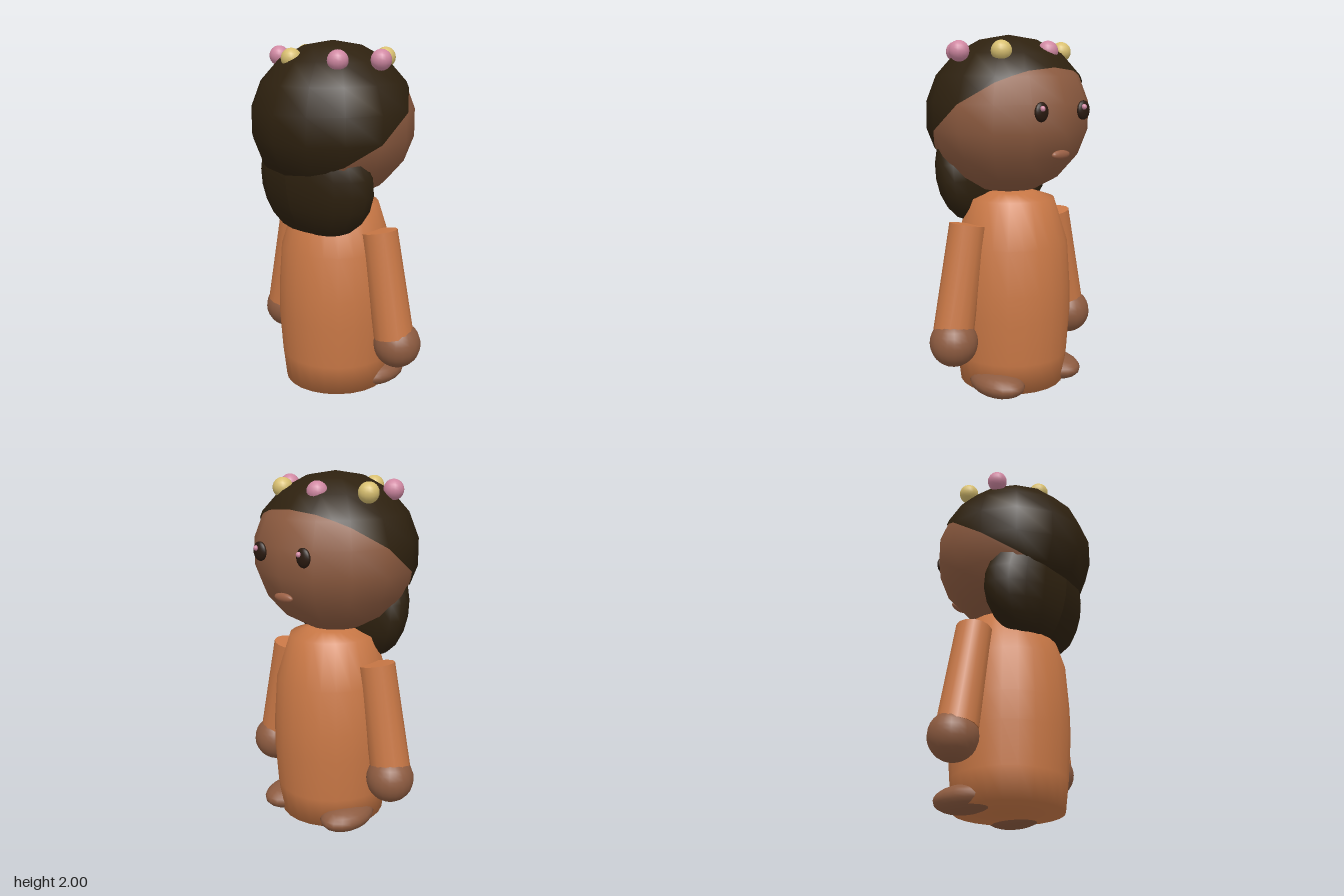
import * as THREE from 'three';

const mat = (name, color, side = THREE.FrontSide) => {
  const m = new THREE.MeshStandardMaterial({ color, side });
  m.name = name;
  return m;
};

// Sphere with a vertex line facing front and back
const ball = (r, w = 14, h = 9) => new THREE.SphereGeometry(r, w, h).rotateY(Math.PI / 2);

// Keeps the part of a geometry centred on the origin that lies above a plane
function clipAbove(source, plane) {
  const p = source.toNonIndexed().attributes.position;
  const out = [];
  for (let i = 0; i < p.count; i += 3) {
    const tri = [0, 1, 2].map((k) => new THREE.Vector3().fromBufferAttribute(p, i + k));
    const poly = [];
    tri.forEach((a, k) => {
      const b = tri[(k + 1) % 3];
      const da = plane.distanceToPoint(a), db = plane.distanceToPoint(b);
      if (da >= 0) poly.push(a);
      if (da >= 0 !== db >= 0) poly.push(a.clone().lerp(b, da / (da - db)));
    });
    for (let k = 1; k + 1 < poly.length; k++) out.push(poly[0], poly[k], poly[k + 1]);
  }
  const g = new THREE.BufferGeometry().setFromPoints(out);
  const normals = out.flatMap((v) => v.clone().normalize().toArray());
  g.setAttribute('normal', new THREE.Float32BufferAttribute(normals, 3));
  return g;
}

export function createModel() {
  const group = new THREE.Group();
  const skin = mat('skin', 0x8d5b40);
  const robe = mat('robe', 0xc97846);
  const hairMat = mat('hair', 0x2e210f, THREE.DoubleSide);
  const eyeMat = mat('eye', 0x2a1a10);
  const pink = mat('pink', 0xd088a2);
  const yellow = mat('yellow', 0xd8bf70);
  const lip = mat('lip', 0x9a6045);

  const add = (name, geometry, material, x, y, z, s = [1, 1, 1]) => {
    const m = new THREE.Mesh(geometry, material);
    m.name = name;
    m.position.set(x, y, z);
    m.scale.set(...s);
    group.add(m);
    return m;
  };

  // Robe body, closed at both ends
  const profile = [[0, 0.03], [0.3, 0.03], [0.32, 0.2], [0.337, 0.44], [0.335, 0.6],
    [0.318, 0.85], [0.24, 1.1], [0.13, 1.135], [0, 1.14]];
  const bodyGeo = new THREE.LatheGeometry(profile.map(([x, y]) => new THREE.Vector2(x, y)), 24);
  add('body', bodyGeo, robe, 0, 0, -0.03);

  // Head and the hair cap, cut on a slope from brow to nape
  add('head', ball(0.458), skin, 0, 1.56, 0, [1, 0.95, 1]);
  const slope = new THREE.Plane(new THREE.Vector3(0, 0.95, 0.72).normalize(), 0);
  add('hairCap', clipAbove(ball(0.465), slope), hairMat, 0, 1.562, 0, [1, 0.945, 1]);

  // Hair falling behind the neck: a broad ellipsoid, bent forward at the sides
  const backHair = ball(1, 18, 11);
  const p = backHair.attributes.position;
  for (let i = 0; i < p.count; i++) {
    const x = Math.sign(p.getX(i)) * Math.abs(p.getX(i)) ** 0.75 * 0.39;
    const y = p.getY(i) * 0.315;
    p.setXYZ(i, x, y, p.getZ(i) * 0.17 - 0.5 * x * x + 0.1 * y);
  }
  backHair.computeVertexNormals();
  add('backHair', backHair, hairMat, 0, 1.25, 0.2);

  // Ring of round hair ornaments
  for (let i = 0; i < 7; i++) {
    const a = (i / 7) * Math.PI * 2;
    add('hairOrnament', ball(0.056, 16, 12), i % 2 ? yellow : pink,
      0.345 * Math.cos(a), 1.91, 0.003 - 0.245 * Math.sin(a));
  }

  // Mirrored limbs and eyes
  for (const s of [-1, 1]) {
    const arm = new THREE.Group();
    arm.name = s > 0 ? 'leftArm' : 'rightArm';
    const top = new THREE.Vector3(s * 0.324, 0.98, -0.03);
    const end = new THREE.Vector3(s * 0.434, 0.39, -0.035);
    const dir = top.clone().sub(end);
    const sleeve = new THREE.Mesh(new THREE.CylinderGeometry(0.1, 0.112, dir.length(), 14), robe);
    sleeve.name = 'sleeve';
    sleeve.position.copy(top).add(end).multiplyScalar(0.5);
    sleeve.quaternion.setFromUnitVectors(new THREE.Vector3(0, 1, 0), dir.normalize());
    const hand = new THREE.Mesh(ball(0.133, 20, 14), skin);
    hand.name = 'hand';
    hand.position.set(s * 0.445, 0.34, -0.052);
    arm.add(sleeve, hand);
    group.add(arm);

    add('foot', ball(1, 18, 12), skin, s * 0.22, 0.078, -0.155, [0.13, 0.075, 0.185]);
    add('eye', ball(1, 16, 12), eyeMat, s * 0.155, 1.6, -0.43, [0.045, 0.052, 0.022]);
    add('eyeGlint', ball(0.015, 10, 8), pink, s * 0.153 + 0.012, 1.618, -0.449);
  }

  // Mouth
  add('mouth', ball(1, 16, 10), lip, 0, 1.37, -0.418, [0.065, 0.025, 0.02]);

  return group;
}
